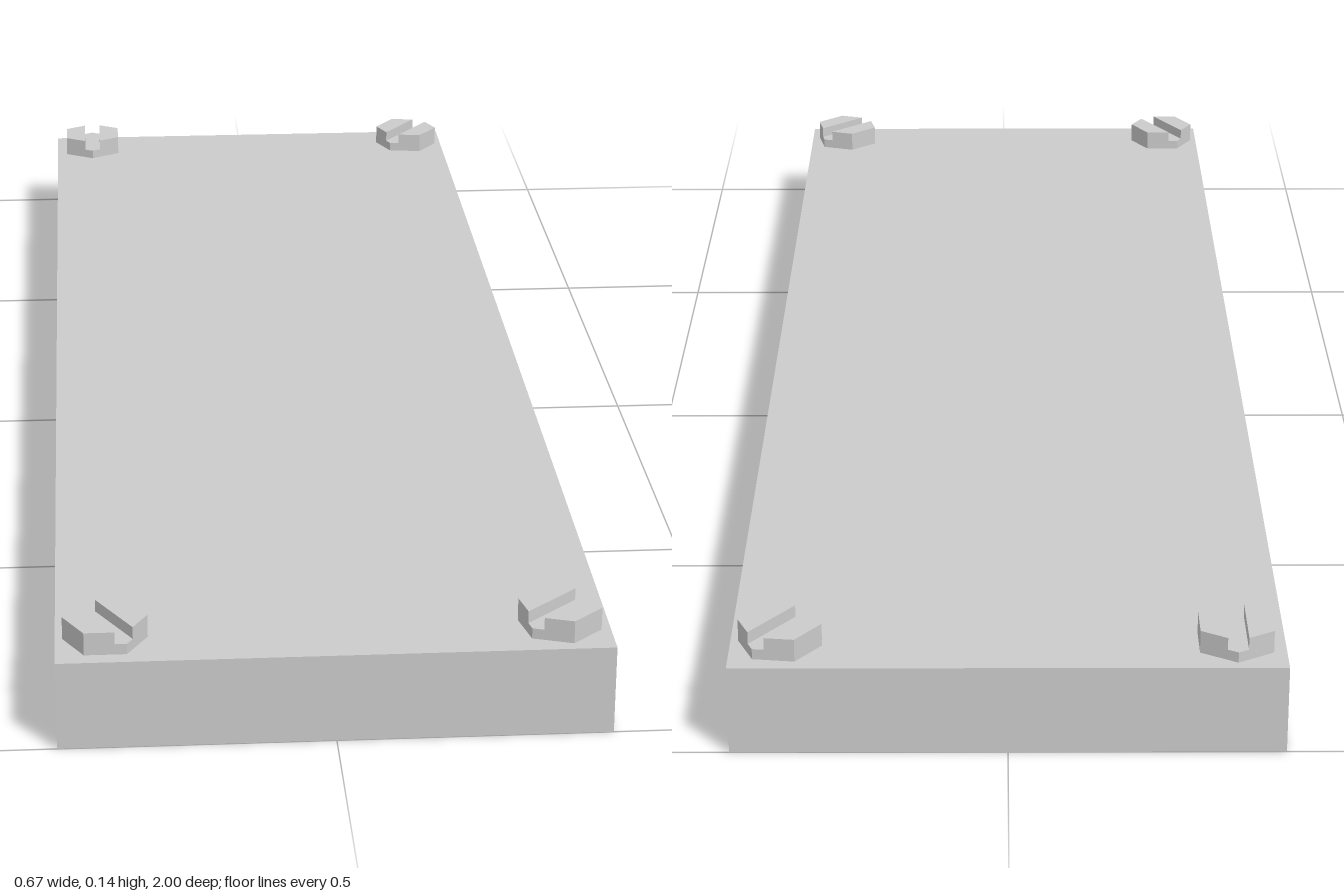
import * as THREE from 'three';

const PLATE = { width: 0.666, height: 0.113, length: 2 };
const BOLT = { radius: 0.051, floor: 0.0135, height: 0.029, slot: 0.025 };

const material = new THREE.MeshStandardMaterial({ color: 0xcccccc, flatShading: true });

// Upright prism from a plan outline, standing on y
function prism(points, y, height) {
  const shape = new THREE.Shape(points.map(([x, z]) => new THREE.Vector2(x, z)));
  const geometry = new THREE.ExtrudeGeometry(shape, { depth: height, bevelEnabled: false });
  return geometry.rotateX(-Math.PI / 2).translate(0, y, 0);
}

function addMesh(parent, name, geometry) {
  const mesh = new THREE.Mesh(geometry, material);
  mesh.name = name;
  parent.add(mesh);
  return mesh;
}

// Hexagonal bolt head with a slot running corner to corner along local x
function createBolt(name) {
  const bolt = new THREE.Group();
  bolt.name = name;
  const { radius: r, floor, height, slot } = BOLT;

  const hexagon = [];
  for (let i = 0; i < 6; i++) {
    const a = (i * Math.PI) / 3;
    hexagon.push([r * Math.cos(a), r * Math.sin(a)]);
  }
  addMesh(bolt, 'boltHeadBase', prism(hexagon, 0, floor));

  // Two raised halves on either side of the slot
  const s = slot / 2;
  const end = r - s / Math.sqrt(3);
  const flat = (r * Math.sqrt(3)) / 2;
  const half = [[end, s], [r / 2, flat], [-r / 2, flat], [-end, s]];
  for (const turn of [0, Math.PI]) {
    const geometry = prism(half, floor, height - floor).rotateY(turn);
    addMesh(bolt, 'boltHeadHalf', geometry);
  }
  return bolt;
}

export function createModel() {
  const model = new THREE.Group();
  model.name = 'boltedPlate';

  // Plate
  const plate = new THREE.BoxGeometry(PLATE.width, PLATE.height, PLATE.length);
  addMesh(model, 'plate', plate.translate(0, PLATE.height / 2, 0));

  // Corner bolts, each turned to its own slot angle in degrees
  const corners = [
    ['frontLeftBolt', 1, 1, 42],
    ['frontRightBolt', -1, 1, -60],
    ['backLeftBolt', 1, -1, 53],
    ['backRightBolt', -1, -1, 90],
  ];
  for (const [name, sx, sz, angle] of corners) {
    const bolt = createBolt(name);
    bolt.position.set(sx * 0.273, PLATE.height, sz * 0.936);
    bolt.rotation.y = THREE.MathUtils.degToRad(angle);
    model.add(bolt);
  }
  return model;
}
